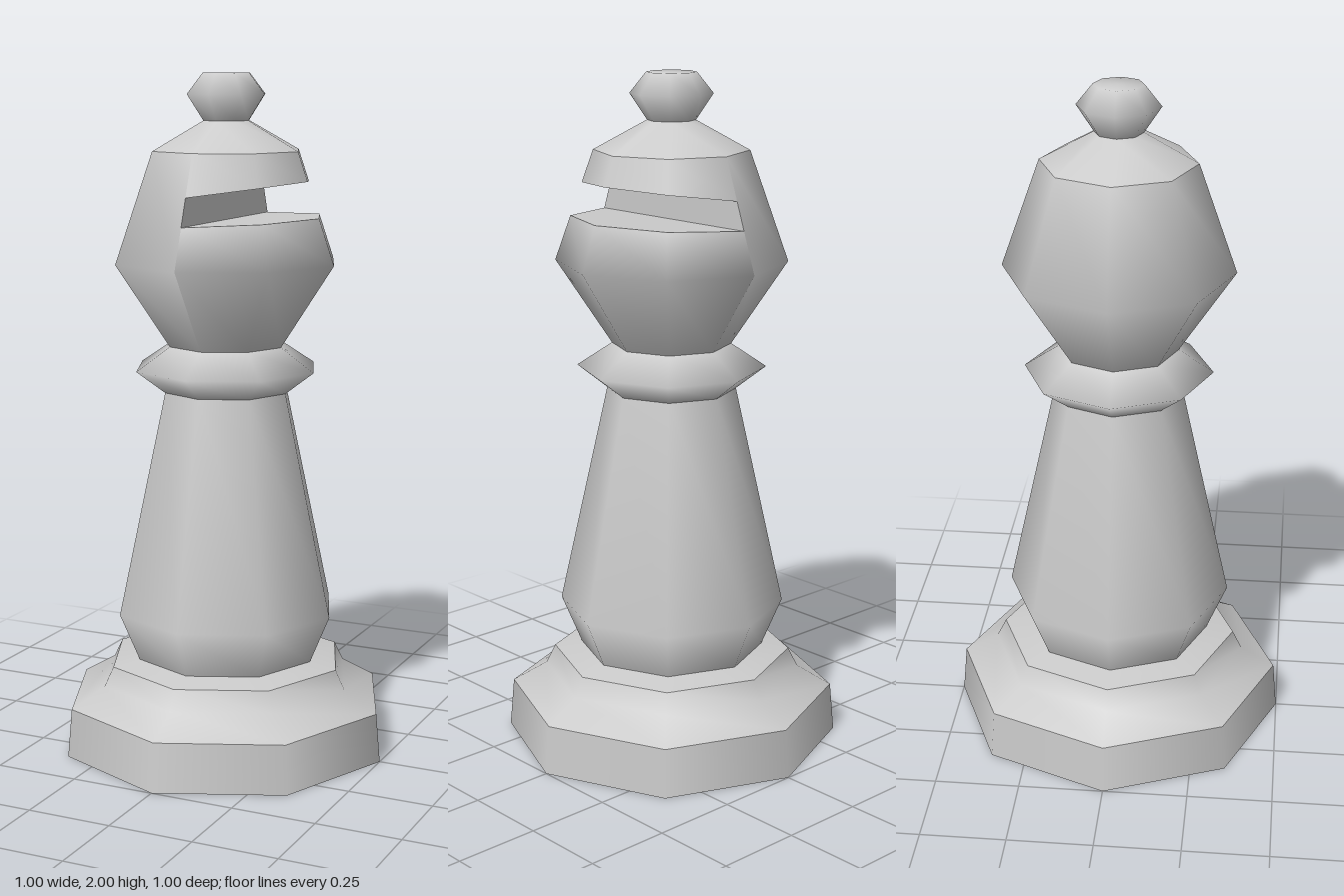
import * as THREE from 'three';

const SIDES = 8;
const material = new THREE.MeshStandardMaterial({ color: 0xcccccc });

function addMesh(parent, name, geometry) {
  const mesh = new THREE.Mesh(geometry, material);
  mesh.name = name;
  parent.add(mesh);
  return mesh;
}

// Octagonal turning; profile is [radius, height] pairs from bottom to top
function turn(profile, start = 0, sweep = 2 * Math.PI) {
  const points = profile.map(([r, y]) => new THREE.Vector2(r, y));
  return new THREE.LatheGeometry(points, Math.round(SIDES * sweep / (2 * Math.PI)), start, sweep);
}

// Flat convex face from counter-clockwise corners
function face(corners) {
  const geometry = new THREE.BufferGeometry().setFromPoints(corners);
  const index = [];
  for (let i = 1; i < corners.length - 1; i++) index.push(0, i, i + 1);
  geometry.setIndex(index);
  geometry.computeVertexNormals();
  return geometry;
}

// Head outline: widest ring and upper ring
const WIDE = [0.338, 1.46], UPPER = [0.225, 1.78];
const TAPER = (WIDE[0] - UPPER[0]) / (UPPER[1] - WIDE[1]);

// Corners where the plane y = height + slope * x meets the tapered head on its left half
function cutRing(height, slope) {
  const ring = [];
  for (let i = 0; i <= SIDES / 2; i++) {
    const phi = i * 2 * Math.PI / SIDES, s = Math.sin(phi);
    const r = (WIDE[0] - TAPER * (height - WIDE[1])) / (1 + TAPER * slope * s);
    ring.push(new THREE.Vector3(r * s, height + slope * r * s, r * Math.cos(phi)));
  }
  return ring;
}

// Moves one profile row of a half turning onto a cut ring
function fitRow(geometry, rows, row, ring) {
  ring.forEach((p, i) => geometry.attributes.position.setXYZ(i * rows + row, p.x, p.y, p.z));
  return geometry;
}

function createHead() {
  const head = new THREE.Group();
  head.name = 'head';
  const neck = [0.175, 1.215];
  const low = cutRing(1.58, 0.045), high = cutRing(1.66, 0.14);

  addMesh(head, 'headUncutHalf', turn([neck, WIDE, UPPER], Math.PI, Math.PI));
  addMesh(head, 'headBelowSlot', fitRow(turn([neck, WIDE, [0.295, 1.58]], 0, Math.PI), 3, 2, low));
  addMesh(head, 'headAboveSlot', fitRow(turn([[0.267, 1.66], UPPER], 0, Math.PI), 2, 0, high));

  // Slot surfaces
  const last = low.length - 1;
  addMesh(head, 'slotFloor', face(low));
  addMesh(head, 'slotCeiling', face([...high].reverse()));
  addMesh(head, 'slotWall', face([low[0], low[last], high[last], high[0]]));

  addMesh(head, 'headShoulder', turn([UPPER, [0.07, 1.865]]));
  return head;
}

export function createModel() {
  const model = new THREE.Group();
  model.name = 'chessPiece';

  // Foot, with sharp edges between its bands
  const base = new THREE.Group();
  base.name = 'base';
  model.add(base);
  addMesh(base, 'baseUnderside', turn([[0, 0], [0.5, 0]]));
  addMesh(base, 'baseRim', turn([[0.5, 0], [0.487, 0.145]]));
  addMesh(base, 'baseStep', turn([[0.487, 0.145], [0.385, 0.205], [0.357, 0.262]]));
  addMesh(base, 'baseTop', turn([[0.357, 0.262], [0.275, 0.277]]));

  // Stem and collar
  addMesh(model, 'body', turn([[0.275, 0.277], [0.335, 0.42], [0.19, 1.08]]));
  addMesh(model, 'collar', turn([[0.19, 1.08], [0.278, 1.147], [0.175, 1.215]]));

  model.add(createHead());

  // Finial
  addMesh(model, 'knob', turn([[0.07, 1.865], [0.12, 1.94], [0.072, 2], [0, 2]]));
  return model;
}
